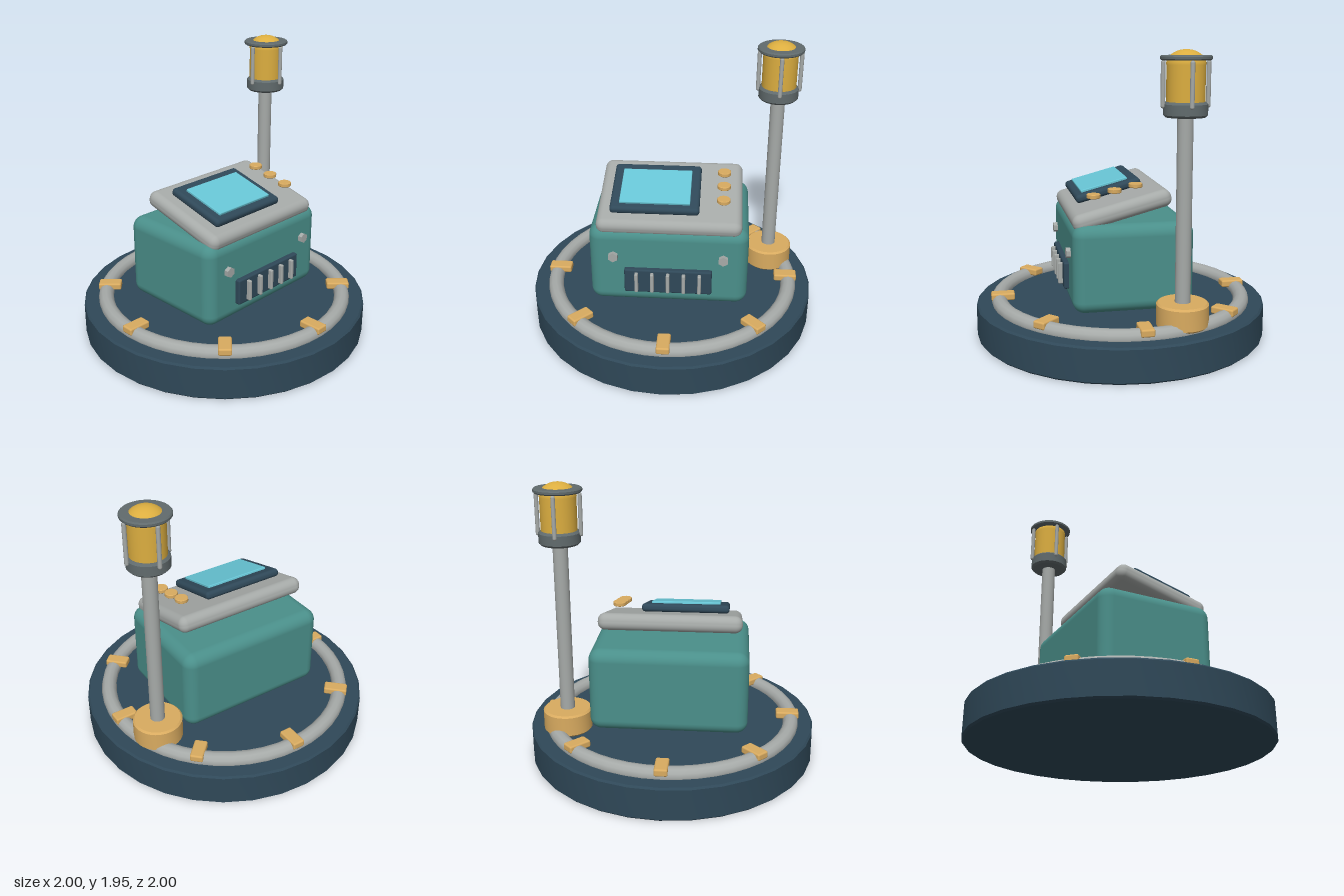
import * as THREE from 'three';
import { RoundedBoxGeometry } from 'three/addons/geometries/RoundedBoxGeometry.js';
import { toCreasedNormals } from 'three/addons/utils/BufferGeometryUtils.js';

const mat = (color) => new THREE.MeshStandardMaterial({ color });

export function createModel() {
  const navy = mat(0x2f4858), teal = mat(0x4a8f8a), grey = mat(0xa6aaa8);
  const brass = mat(0xd9ab60), cyan = mat(0x68c6d6), amber = mat(0xdcae40), iron = mat(0x616b6d);
  const model = new THREE.Group();
  model.name = 'controlStation';

  const add = (parent, name, geometry, material, x = 0, y = 0, z = 0) => {
    const mesh = new THREE.Mesh(geometry, material);
    mesh.name = name;
    mesh.position.set(x, y, z);
    parent.add(mesh);
    return mesh;
  };
  const group = (name, x = 0, y = 0, z = 0) => {
    const g = new THREE.Group();
    g.name = name;
    g.position.set(x, y, z);
    model.add(g);
    return g;
  };
  const roundBox = (w, h, d, r, seg = 4) => new RoundedBoxGeometry(w, h, d, seg, r);
  // Solid disc from y0 to y1 with chamfered rims
  const drum = (r, y0, y1, c, seg = 32) => {
    const pts = [[0, y0], [r - c, y0], [r, y0 + c], [r, y1 - c], [r - c, y1], [0, y1]];
    const lathe = new THREE.LatheGeometry(pts.map((p) => new THREE.Vector2(...p)), seg);
    return toCreasedNormals(lathe, 0.4);
  };

  // Round platform
  add(model, 'platform', drum(1, 0, 0.232, 0.012), navy);

  // Cable ring with eight clamps
  const ring = new THREE.TorusGeometry(0.845, 0.053, 12, 48);
  ring.rotateX(Math.PI / 2);
  add(model, 'cableRing', ring, grey, 0, 0.242, 0);
  const clampGeo = roundBox(0.16, 0.05, 0.088, 0.012, 2);
  for (let i = 0; i < 8; i++) {
    const a = (i * Math.PI) / 4;
    const clamp = add(model, 'ringClamp', clampGeo, brass, Math.cos(a) * 0.82, 0.277, Math.sin(a) * 0.82);
    clamp.rotation.y = -a;
  }

  // Cabinet
  add(model, 'cabinet', roundBox(1.07, 0.58, 0.79, 0.08, 5), teal, 0, 0.57, 0.003);

  // Vent panel and its slats
  add(model, 'ventPanel', roundBox(0.59, 0.18, 0.05, 0.012, 2), navy, 0, 0.48, 0.407);
  const slatGeo = roundBox(0.024, 0.145, 0.04, 0.008, 2);
  for (let i = -2; i <= 2; i++) add(model, 'ventSlat', slatGeo, grey, i * 0.106, 0.48, 0.442);

  // Hexagonal bolts
  const boltGeo = toCreasedNormals(new THREE.CylinderGeometry(0.035, 0.035, 0.04, 6), 0.4);
  boltGeo.rotateX(Math.PI / 2);
  for (const s of [-1, 1]) add(model, 'hexBolt', boltGeo, grey, s * 0.368, 0.658, 0.407);

  // Sloping console
  const tilt = 0.26;
  const consoleTop = group('console', 0, 0.937, 0.07);
  consoleTop.rotation.x = tilt;
  add(consoleTop, 'consoleSlab', roundBox(0.97, 0.115, 0.66, 0.052, 5), grey);

  // Display
  const display = group('display', -0.097, 1.022, 0.115);
  display.rotation.x = tilt;
  add(display, 'bezel', roundBox(0.595, 0.055, 0.45, 0.024, 4), navy);
  add(display, 'screen', roundBox(0.47, 0.03, 0.325, 0.006, 2), cyan, 0, 0.028, 0.012);

  // Push buttons stepping up the slope
  const buttonGeo = drum(0.045, -0.014, 0.014, 0.004, 20);
  for (let i = -1; i <= 1; i++) add(model, 'button', buttonGeo, brass, 0.358, 1.053 - i * 0.031, 0.105 + i * 0.137);

  // Beacon post
  const beacon = group('beacon', 0.703, 0, -0.262);
  add(beacon, 'postCollar', drum(0.166, 0.243, 0.397, 0.012), brass);
  add(beacon, 'post', new THREE.CylinderGeometry(0.049, 0.049, 1.25, 20), grey, 0, 0.965, 0);

  // Lantern: cup, glass, dome, top ring and guard rods
  add(beacon, 'lanternCup', drum(0.135, 1.55, 1.642, 0.014, 28), iron);
  add(beacon, 'lanternGlass', new THREE.CylinderGeometry(0.117, 0.117, 0.25, 28), amber, 0, 1.75, 0);
  const dome = new THREE.SphereGeometry(0.12, 28, 10, 0, Math.PI * 2, 0, Math.PI / 2);
  dome.scale(1, 0.75, 1);
  add(beacon, 'lanternDome', dome, amber, 0, 1.86, 0);
  const rim = [[0.09, 1.885], [0.148, 1.885], [0.156, 1.893], [0.156, 1.907], [0.148, 1.915], [0.09, 1.915], [0.09, 1.885]];
  const rimGeo = new THREE.LatheGeometry(rim.map((p) => new THREE.Vector2(...p)), 28);
  add(beacon, 'lanternRim', toCreasedNormals(rimGeo, 0.4), iron);
  const rodGeo = new THREE.CapsuleGeometry(0.014, 0.255, 4, 10);
  for (let i = 0; i < 4; i++) {
    const a = (i * Math.PI) / 2;
    add(beacon, 'guardRod', rodGeo, grey, Math.cos(a) * 0.14, 1.745, Math.sin(a) * 0.14);
  }
  return model;
}
